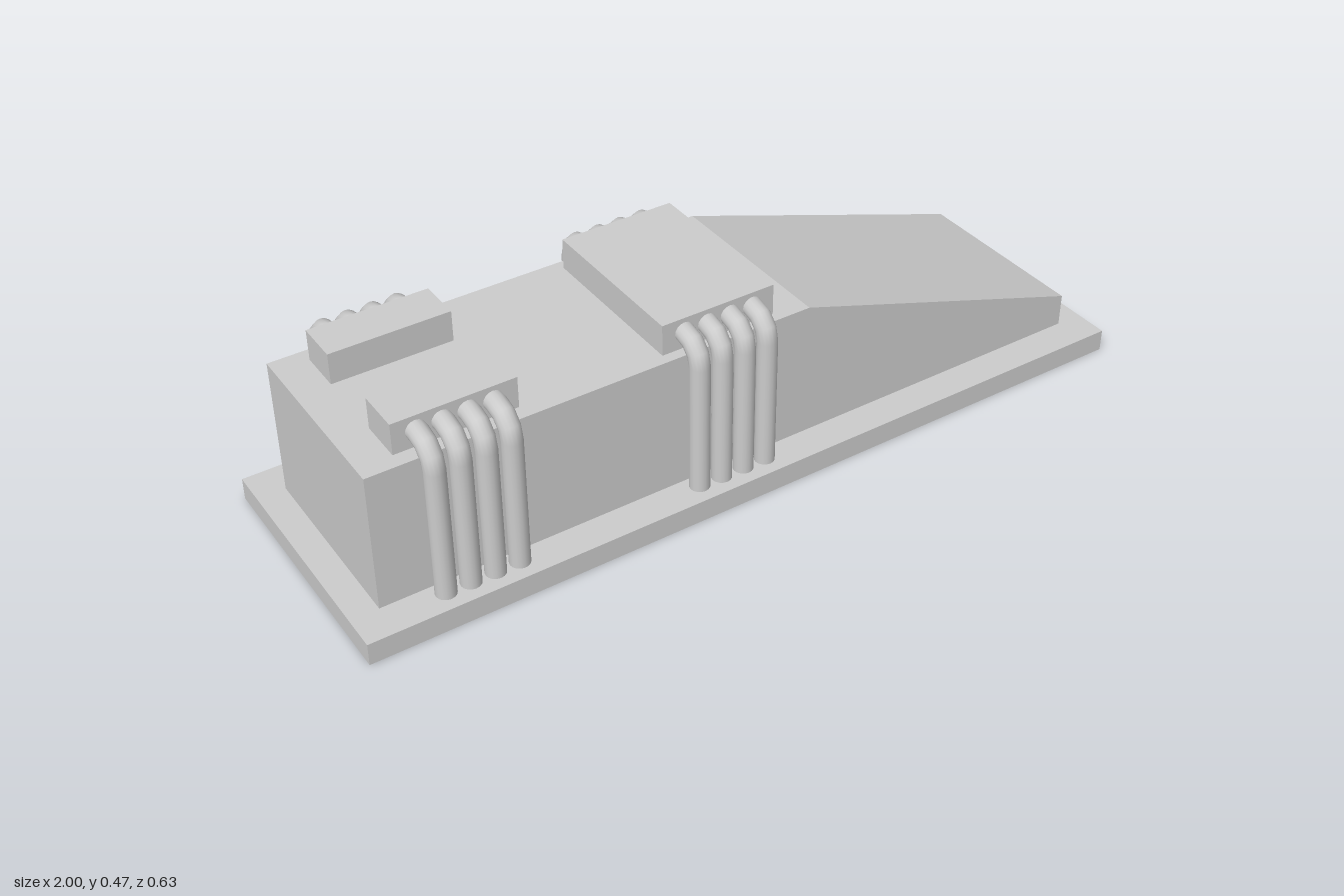
import * as THREE from 'three';
import { mergeGeometries } from 'three/addons/utils/BufferGeometryUtils.js';

const BASE_TOP = 0.055, BODY_TOP = 0.395, BLOCK_TOP = 0.471;

export function createModel() {
  const model = new THREE.Group();
  model.name = 'pipedWedgeHousing';
  const material = new THREE.MeshStandardMaterial({ color: 0xcccccc });

  const add = (name, geometry, x = 0, y = 0, z = 0) => {
    const mesh = new THREE.Mesh(geometry, material);
    mesh.name = name;
    mesh.position.set(x, y, z);
    model.add(mesh);
    return mesh;
  };

  // Base plate
  add('basePlate', new THREE.BoxGeometry(2, BASE_TOP, 0.634), 0, BASE_TOP / 2, 0);

  // Body with a sloping nose
  const profile = new THREE.Shape([
    [-0.932, BASE_TOP], [0.932, BASE_TOP], [0.932, 0.137], [0.15, BODY_TOP], [-0.932, BODY_TOP],
  ].map(([x, y]) => new THREE.Vector2(x, y)));
  const depth = 0.466;
  add('body', new THREE.ExtrudeGeometry(profile, { depth, bevelEnabled: false }), 0, 0, -depth / 2);

  // Manifold blocks on the roof
  const height = BLOCK_TOP - BODY_TOP;
  const blockY = (BLOCK_TOP + BODY_TOP) / 2;
  add('centreManifold', new THREE.BoxGeometry(0.288, height, 0.414), -0.075, blockY, 0);
  for (const side of [1, -1]) {
    add('endManifold', new THREE.BoxGeometry(0.288, height, 0.106), -0.706, blockY, side * 0.143);
  }

  // One pipe: upright, quarter bend and a stub into the manifold
  const r = 0.024, bend = 0.056, bendY = 0.38, bendZ = 0.21, stub = 0.03;
  const upright = new THREE.CylinderGeometry(r, r, bendY - BASE_TOP, 16)
    .translate(0, (bendY + BASE_TOP) / 2, bendZ + bend);
  const elbow = new THREE.TorusGeometry(bend, r, 16, 3, Math.PI / 2)
    .rotateY(-Math.PI / 2).translate(0, bendY, bendZ);
  const inlet = new THREE.CylinderGeometry(r, r, stub, 16)
    .rotateX(Math.PI / 2).translate(0, bendY + bend, bendZ - stub / 2);
  const pipe = mergeGeometries([upright, elbow, inlet]);

  // Four pipes per manifold on each side
  for (const centre of [-0.707, -0.075]) {
    for (let i = 0; i < 4; i++) {
      for (const side of [1, -1]) {
        const mesh = add('pipe', pipe, centre + (i - 1.5) * 0.0585);
        if (side < 0) mesh.rotation.y = Math.PI;
      }
    }
  }
  return model;
}
